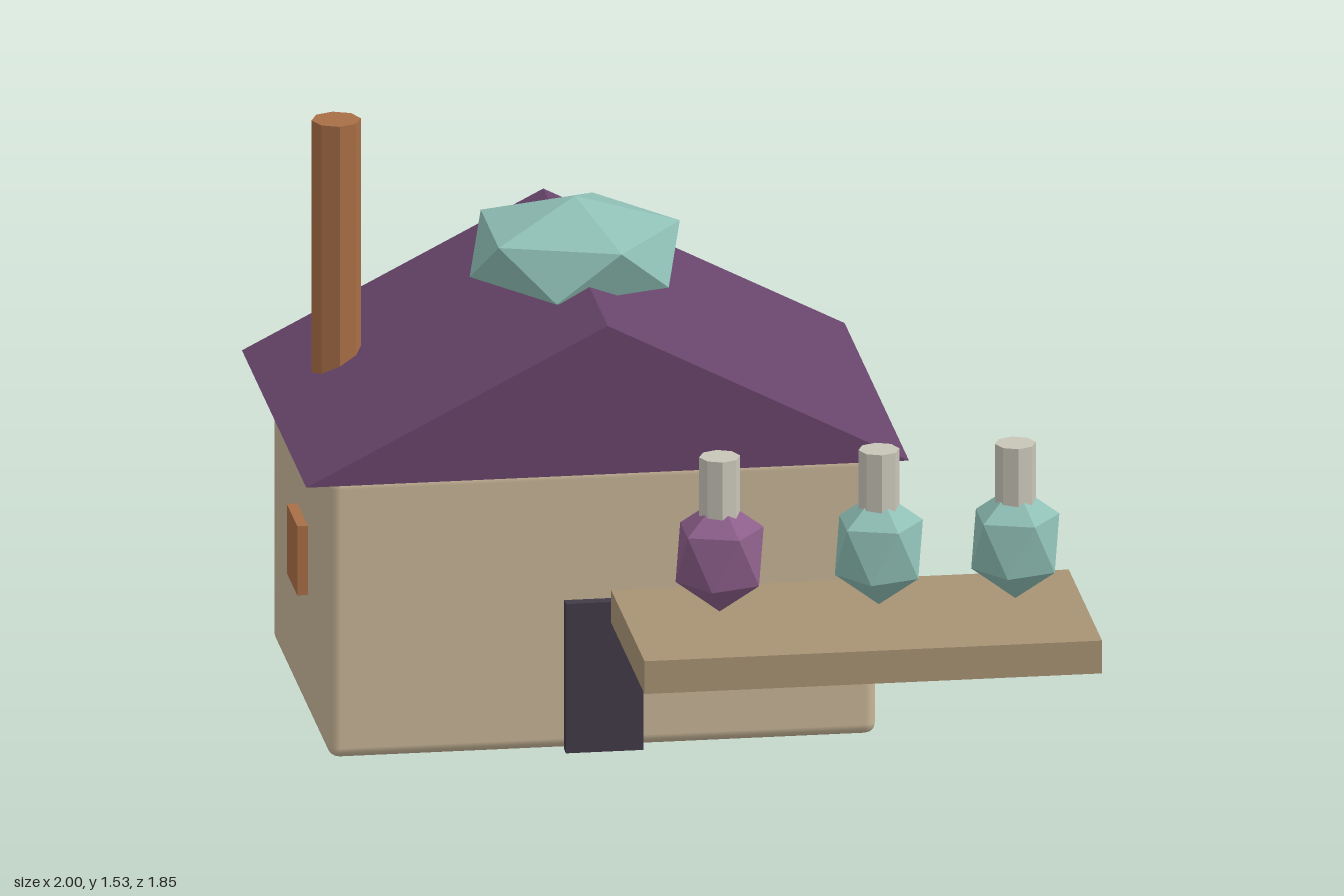
import * as THREE from 'three';
import { RoundedBoxGeometry } from 'three/addons/geometries/RoundedBoxGeometry.js';

const mat = (name, color, flatShading = true) => {
  const m = new THREE.MeshStandardMaterial({ color, flatShading });
  m.name = name;
  return m;
};

export function createModel() {
  const wall = mat('wall plaster', 0xc8b698, false);
  const wood = mat('counter wood', 0xa89474);
  const roofPaint = mat('roof purple', 0x68446a);
  const teal = mat('teal glass', 0x8fbfb5);
  const violet = mat('violet glass', 0x8c5f8a);
  const cork = mat('pale neck', 0xc8c5b8);
  const copper = mat('copper brown', 0xa86e46);
  const dark = mat('dark door', 0x413b47);

  const model = new THREE.Group();
  model.name = 'potionShop';

  const add = (name, geometry, material, x, y, z, parent = model) => {
    const mesh = new THREE.Mesh(geometry, material);
    mesh.name = name;
    mesh.position.set(x, y, z);
    parent.add(mesh);
    return mesh;
  };

  // Icosahedron standing on a vertex, with an upper-ring vertex toward +x
  const gem = (radius, halfHeight) =>
    new THREE.IcosahedronGeometry(1, 0)
      .rotateZ(-Math.atan(2 / (1 + Math.sqrt(5))))
      .scale(radius, halfHeight, radius);

  const houseX = -0.207, houseZ = -0.341;

  // House body with softened edges
  add('houseBody', new RoundedBoxGeometry(1.445, 0.77, 1.024, 2, 0.03), wall, houseX, 0.385, houseZ);

  // Gable roof: a triangle extruded along z
  const gable = new THREE.Shape();
  gable.moveTo(-0.795, 0);
  gable.lineTo(0.795, 0);
  gable.lineTo(0, 0.407);
  gable.closePath();
  const roof = new THREE.ExtrudeGeometry(gable, { depth: 1.167, bevelEnabled: false });
  add('roof', roof, roofPaint, -0.205, 0.774, -0.925);

  // Faceted crystal on the ridge, and the chimney
  add('roofCrystal', gem(0.31, 0.145), teal, houseX, 1.205, houseZ);
  add('chimney', new THREE.CylinderGeometry(0.065, 0.065, 0.73, 8), copper, -0.81, 1.165, -0.522);

  // Door on the front, shutter on the side wall
  add('door', new THREE.BoxGeometry(0.205, 0.41, 0.04), dark, houseX, 0.205, 0.185);
  add('sideShutter', new THREE.BoxGeometry(0.04, 0.19, 0.19), copper, -0.938, 0.425, -0.305);

  // Display counter with three bottles
  add('counter', new THREE.BoxGeometry(1.207, 0.09, 0.604), wood, 0.3965, 0.436, 0.623);
  const flask = gem(0.13, 0.157);
  const neck = new THREE.CylinderGeometry(0.054, 0.054, 0.18, 8);
  [[0.035, violet], [0.455, teal], [0.815, teal]].forEach(([x, glass], i) => {
    const bottle = new THREE.Group();
    bottle.name = `bottle${i + 1}`;
    bottle.position.set(x, 0, 0.623);
    model.add(bottle);
    add('flask', flask, glass, 0, 0.666, 0, bottle);
    add('neck', neck, cork, 0, 0.845, 0, bottle);
  });

  return model;
}
